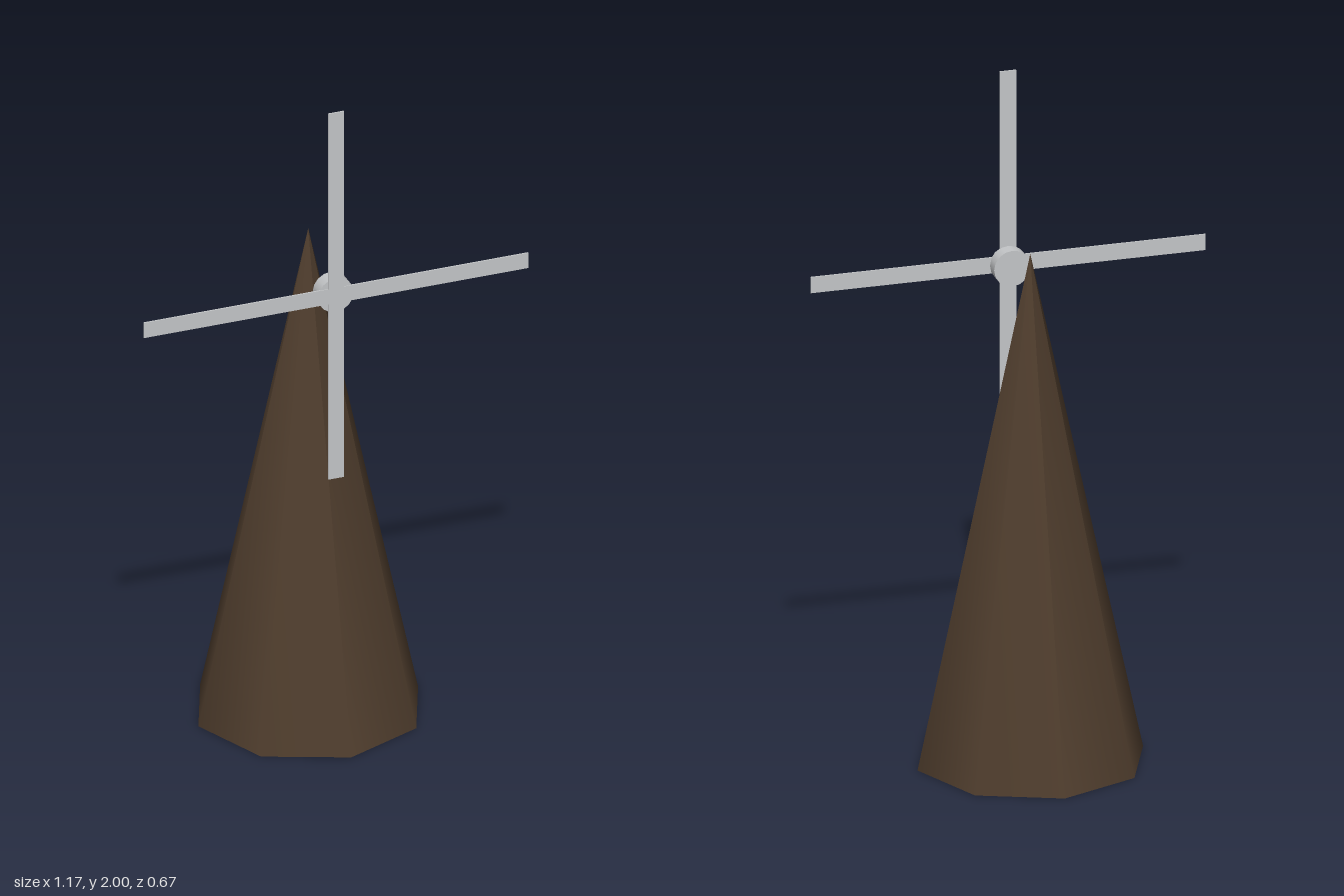
import * as THREE from 'three';

export function createModel() {
  const model = new THREE.Group();
  model.name = 'windmill';
  const wood = new THREE.MeshStandardMaterial({ color: 0x4f3d2d });
  wood.name = 'dark wood';
  const metal = new THREE.MeshStandardMaterial({ color: 0xc4c6c8 });
  metal.name = 'pale grey';

  const add = (parent, name, geometry, material) => {
    const mesh = new THREE.Mesh(geometry, material);
    mesh.name = name;
    parent.add(mesh);
    return mesh;
  };

  // Eight-sided tapering tower, smooth shaded
  const height = 1.525;
  add(model, 'tower', new THREE.ConeGeometry(0.333, height, 8), wood).position.y = height / 2;

  // Rotor: hub behind four thin blades
  const rotor = new THREE.Group();
  rotor.name = 'rotor';
  rotor.position.set(0, 1.417, 0.215);
  model.add(rotor);

  const hub = add(rotor, 'hub', new THREE.CylinderGeometry(0.054, 0.054, 0.043, 16), metal);
  hub.rotation.x = Math.PI / 2;
  hub.position.z = -0.0215;

  const length = 0.583, width = 0.048;
  for (let i = 0; i < 4; i++) {
    const blade = new THREE.BoxGeometry(width, length, 0.005);
    blade.translate(0, length / 2, 0);
    add(rotor, 'blade' + (i + 1), blade, metal).rotation.z = i * Math.PI / 2;
  }
  return model;
}
